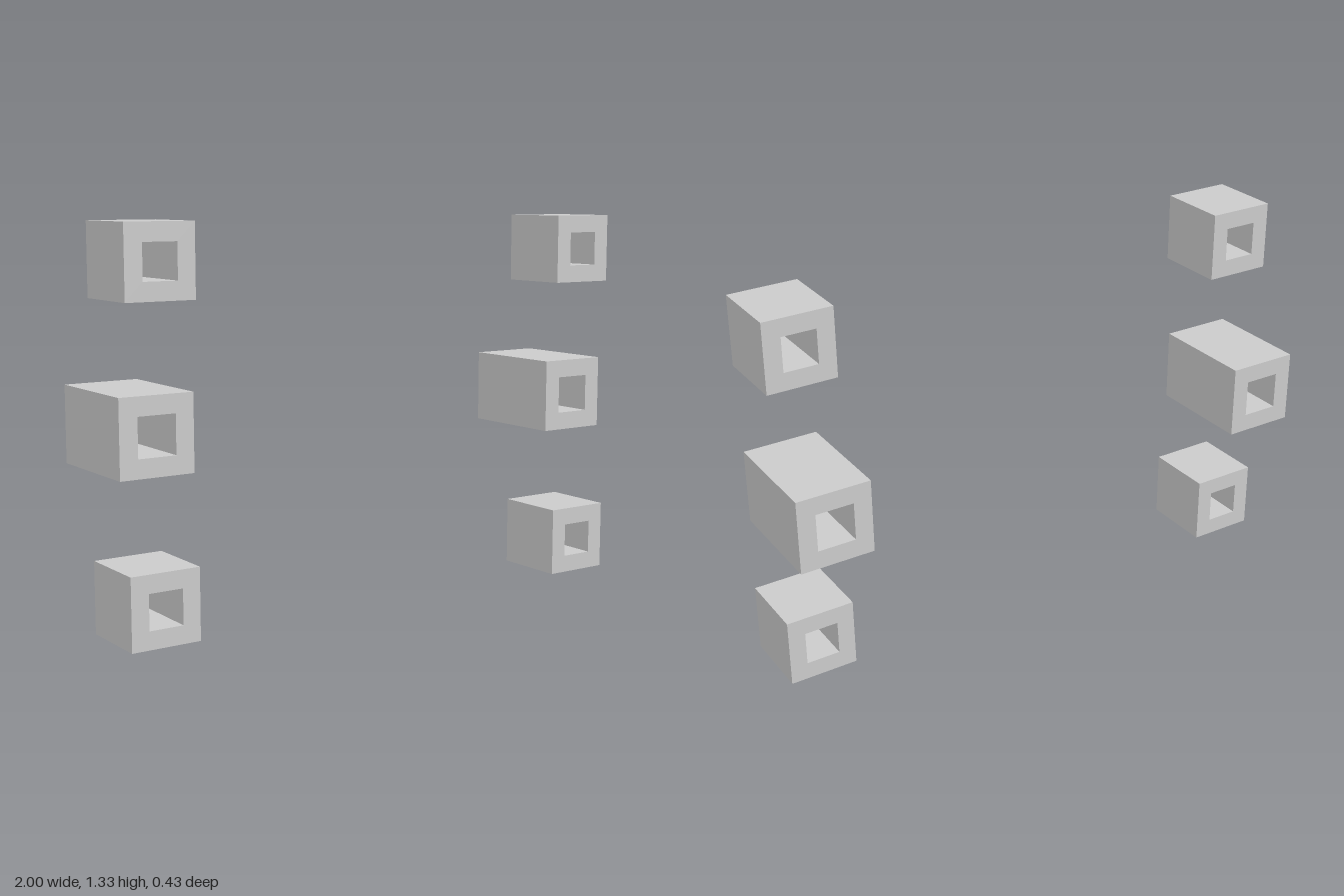
import * as THREE from 'three';

const material = new THREE.MeshStandardMaterial({ color: 0xcccccc, flatShading: true });

// Square outline of the given side, centred on the origin
function square(side, Type) {
  const h = side / 2;
  return new Type([[-h, -h], [h, -h], [h, h], [-h, h]].map(([x, y]) => new THREE.Vector2(x, y)));
}

// Square block with a square hole running through it along z
function squareTube(name, side, bore, length) {
  const shape = square(side, THREE.Shape);
  shape.holes.push(square(bore, THREE.Path));
  const geometry = new THREE.ExtrudeGeometry(shape, { depth: length, bevelEnabled: false });
  const mesh = new THREE.Mesh(geometry, material);
  mesh.name = name;
  return mesh;
}

export function createModel() {
  const model = new THREE.Group();
  model.name = 'squareSleeves';

  // Each side carries a short sleeve, a long sleeve and a short sleeve, bottom to top
  const sleeves = [
    { name: 'lowerSleeve', y: 0.122, side: 0.243, bore: 0.12, back: -0.043, length: 0.26 },
    { name: 'middleSleeve', y: 0.668, side: 0.26, bore: 0.133, back: -0.217, length: 0.393 },
    { name: 'upperSleeve', y: 1.211, side: 0.243, bore: 0.12, back: -0.043, length: 0.26 },
  ];

  for (const [sideName, sign] of [['left', 1], ['right', -1]]) {
    const column = new THREE.Group();
    column.name = sideName + 'Sleeves';
    column.position.x = sign * 0.87;
    for (const s of sleeves) {
      const tube = squareTube(s.name, s.side, s.bore, s.length);
      tube.position.set(0, s.y, s.back);
      column.add(tube);
    }
    model.add(column);
  }
  return model;
}
